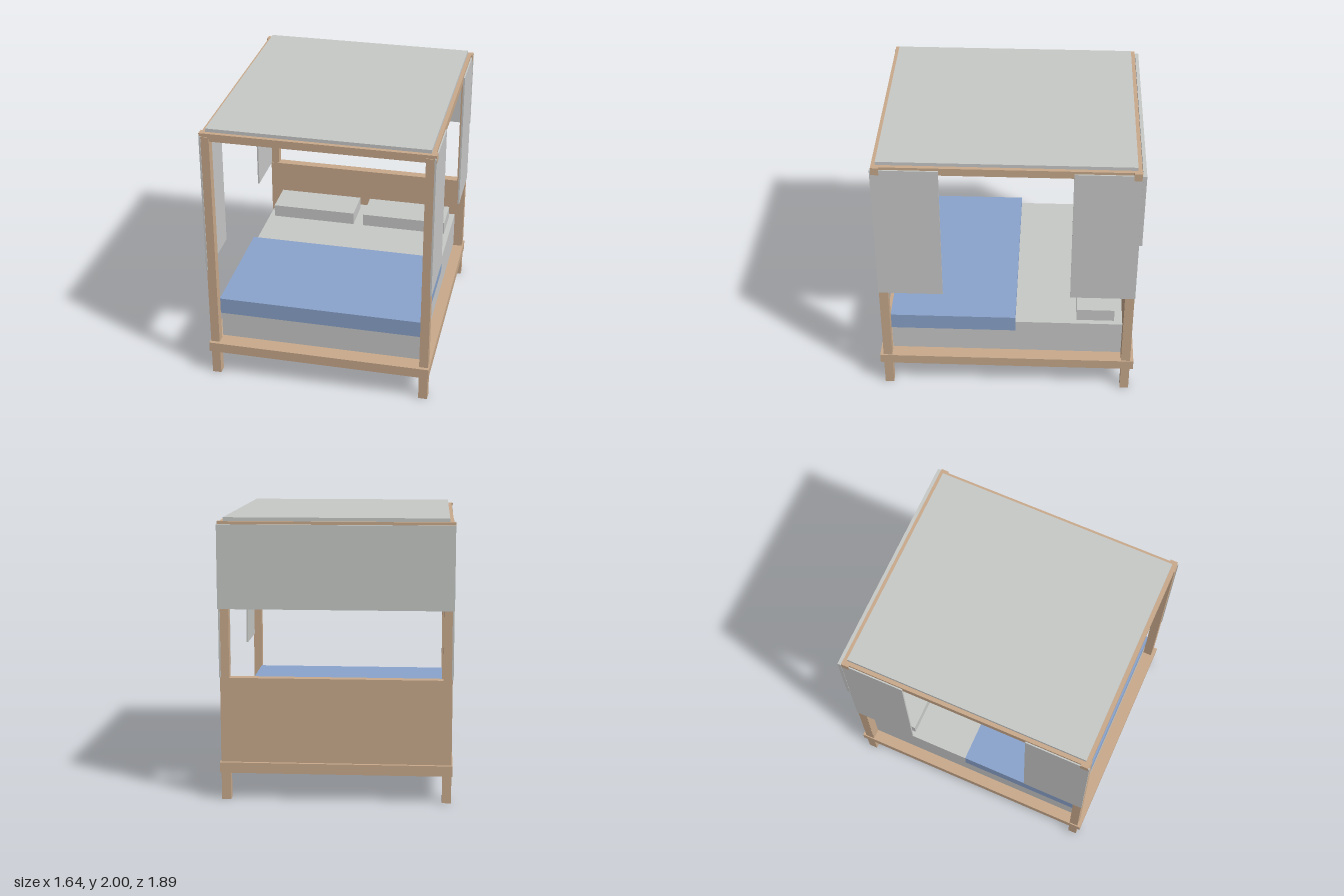
import * as THREE from 'three';

export function createModel() {
  const bed = new THREE.Group();
  bed.name = 'canopyBed';

  const material = (name, color) => {
    const m = new THREE.MeshStandardMaterial({ color });
    m.name = name;
    return m;
  };
  const wood = material('wood', 0xc9aa8c);
  const linen = material('linen', 0xc7c9c7);
  const blue = material('blueBlanket', 0x8aa3cb);

  // Adds a box given its extents along each axis
  const box = (name, mat, [x0, x1], [y0, y1], [z0, z1]) => {
    const mesh = new THREE.Mesh(new THREE.BoxGeometry(x1 - x0, y1 - y0, z1 - z0), mat);
    mesh.position.set((x0 + x1) / 2, (y0 + y1) / 2, (z0 + z1) / 2);
    mesh.name = name;
    bed.add(mesh);
  };
  // Extent between two distances from the centre, on the given side
  const span = (side, inner, outer) => (side > 0 ? [inner, outer] : [-outer, -inner]);

  // Bed base and headboard
  box('baseFrame', wood, [-0.82, 0.82], [0.2, 0.275], [-0.945, 0.945]);
  box('headboard', wood, [-0.81, 0.81], [0.275, 0.88], [-0.92, -0.852]);

  // Bedding
  box('mattress', linen, [-0.74, 0.74], [0.295, 0.568], [-0.85, 0.853]);
  box('blanket', blue, [-0.75, 0.75], [0.492, 0.615], [-0.063, 0.857]);

  for (const side of [1, -1]) {
    const label = side > 0 ? 'left' : 'right';
    box(label + 'Pillow', linen, span(side, 0.04, 0.7), [0.568, 0.665], [-0.79, -0.513]);
    box(label + 'TopRail', wood, span(side, 0.752, 0.808), [1.918, 1.975], [-0.86, 0.86]);
    for (const end of [1, -1]) {
      const place = label + (end > 0 ? 'Front' : 'Back');
      box(place + 'Post', wood, span(side, 0.747, 0.812), [0, 1.95], span(end, 0.855, 0.92));
      box(place + 'Curtain', linen, span(side, 0.806, 0.818), [0.883, 1.955], span(end, 0.458, 0.924));
    }
  }

  // Canopy: end rails, roof cloth and back drape
  for (const end of [1, -1]) {
    box(end > 0 ? 'frontTopRail' : 'backTopRail', wood, [-0.82, 0.82], [1.918, 1.975], span(end, 0.86, 0.915));
  }
  box('canopyRoof', linen, [-0.78, 0.78], [1.975, 2], [-0.885, 0.885]);
  box('backDrape', linen, [-0.82, 0.82], [1.37, 1.955], [-0.945, -0.92]);

  return bed;
}
